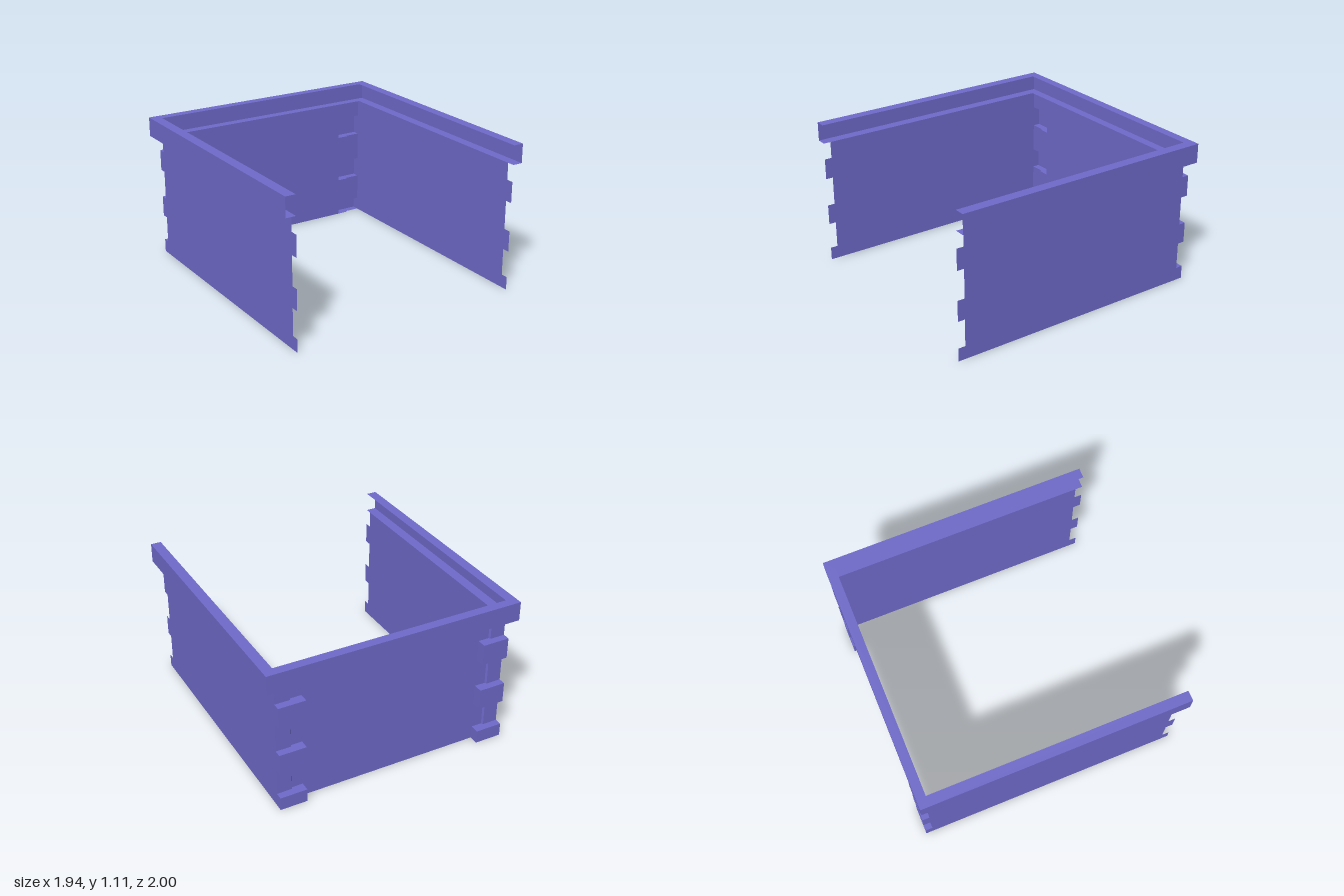
import * as THREE from 'three';

const WALL_X = 0.893, PANEL_Z = -0.93, POST_Z = -0.945, TOP = 0.965;
const QUOINS = [[0, 0.1], [0.303, 0.46], [0.678, 0.838]];
const GAPS = [[0.1, 0.303], [0.46, 0.678], [0.838, TOP]];

// Skin made of quads between successive rows of [x, y, z] points
function skin(rows) {
  const pos = [];
  for (let j = 0; j < rows.length - 1; j++) {
    for (let i = 0; i < rows[j].length - 1; i++) {
      const a = rows[j][i], b = rows[j][i + 1], c = rows[j + 1][i + 1], d = rows[j + 1][i];
      pos.push(...a, ...b, ...c, ...a, ...c, ...d);
    }
  }
  const geo = new THREE.BufferGeometry();
  geo.setAttribute('position', new THREE.Float32BufferAttribute(pos, 3));
  geo.computeVertexNormals();
  return geo;
}

// Vertical sheet following a plan line of [x, z] points, mirrored by side
function sheet(plan, y0, y1, side = 1) {
  const line = plan.map(([x, z]) => [x * side, z]);
  if (side < 0) line.reverse();
  return skin([y0, y1].map(y => line.map(([x, z]) => [x, y, z])));
}

const shapeOf = pts => new THREE.ShapeGeometry(new THREE.Shape(pts.map(p => new THREE.Vector2(...p))));

export function createModel() {
  const model = new THREE.Group();
  const violet = new THREE.MeshStandardMaterial({ color: 0x6f6aca, side: THREE.DoubleSide });
  violet.name = 'violet';
  const add = (name, geo) => {
    const mesh = new THREE.Mesh(geo, violet);
    mesh.name = name;
    model.add(mesh);
    return mesh;
  };

  // Side walls: thin sheets with toothed ends matching the corner blocks
  const edge = [];
  for (const [y0, y1] of QUOINS) edge.push([-POST_Z, y0], [1, y0], [1, y1], [-POST_Z, y1]);
  edge.push([-POST_Z, TOP]);
  const outline = [...edge, ...edge.map(([z, y]) => [-z, y]).reverse()];
  for (const side of [1, -1]) {
    const wall = add(side > 0 ? 'leftWall' : 'rightWall', shapeOf(outline));
    wall.rotation.y = side * Math.PI / 2;
    wall.position.x = side * WALL_X;
  }

  // Back wall
  add('backPanel', sheet([[0.69, PANEL_Z], [-0.69, PANEL_Z]], 0, TOP));

  // Corner posts with hollow projecting blocks
  const postPlan = [[WALL_X, POST_Z], [0.78, POST_Z], [0.772, PANEL_Z], [0.69, PANEL_Z]];
  const blockPlan = [[WALL_X, -1], [0.69, -1], [0.69, PANEL_Z]];
  const platePlan = [...postPlan, [0.69, -1], [WALL_X, -1]];
  for (const side of [1, -1]) {
    for (const [y0, y1] of GAPS) add('cornerPost', sheet(postPlan, y0, y1, side));
    for (const [y0, y1] of QUOINS) {
      add('cornerBlock', sheet(blockPlan, y0, y1, side));
      for (const y of [y0, y1]) {
        const plate = add('cornerBlockPlate', shapeOf(platePlan.map(([x, z]) => [x * side, z])));
        plate.rotation.x = Math.PI / 2;
        plate.position.y = y;
      }
    }
  }

  // Cornice: channel section, open inward, mitred round three sides
  const profile = [[0, TOP], [1, TOP], [1, 1.11], [0, 1.11]];
  add('cornice', skin(profile.map(([out, y]) => {
    const x = WALL_X + out * 0.077, z = PANEL_Z - out * 0.07;
    return [[x, y, 1], [x, y, z], [-x, y, z], [-x, y, 1]];
  })));

  return model;
}
